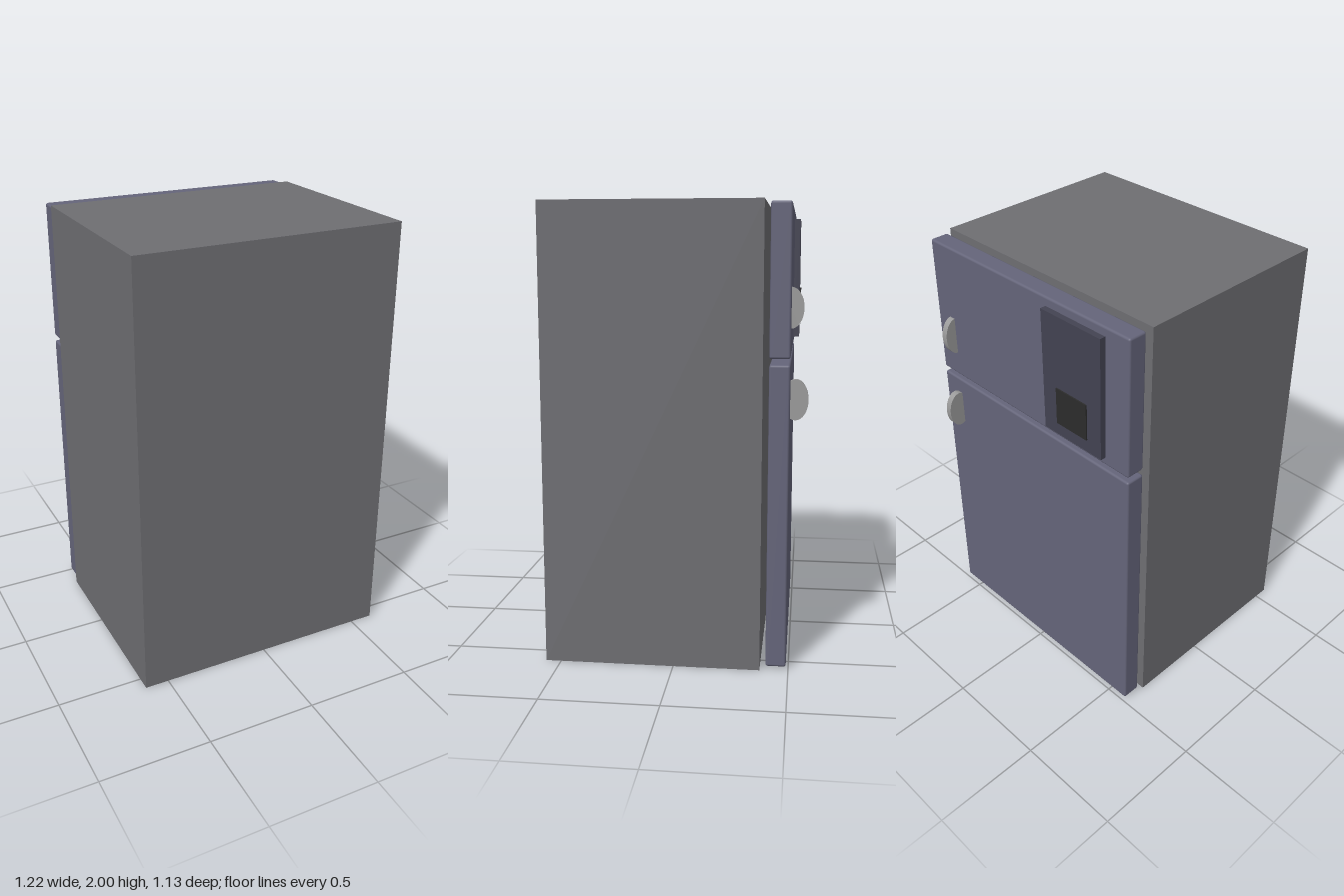
import * as THREE from 'three';
import { RoundedBoxGeometry } from 'three/addons/geometries/RoundedBoxGeometry.js';

const material = (color) => new THREE.MeshStandardMaterial({ color });

export function createModel() {
  const model = new THREE.Group();
  model.name = 'refrigerator';

  const bodyMat = material(0x6e6e72);
  const doorMat = material(0x65657a);
  const panelMat = material(0x434352);
  const recessMat = material(0x2c2c2c);
  const handleMat = material(0x9a9a9a);

  // Box given by its min and max corners; a radius softens the edges
  function box(name, min, max, mat, radius = 0) {
    const size = max.map((v, i) => v - min[i]);
    const geometry = radius
      ? new RoundedBoxGeometry(...size, 2, radius)
      : new THREE.BoxGeometry(...size);
    const mesh = new THREE.Mesh(geometry, mat);
    mesh.name = name;
    mesh.position.set(...max.map((v, i) => (v + min[i]) / 2));
    model.add(mesh);
  }

  // Flat elliptical disc standing on edge, partly sunk into the door
  function handle(name, y, z) {
    const geometry = new THREE.CylinderGeometry(1, 1, 0.03, 32);
    geometry.rotateZ(Math.PI / 2);
    geometry.scale(1, 0.087, 0.055);
    const mesh = new THREE.Mesh(geometry, handleMat);
    mesh.name = name;
    mesh.position.set(0.5, y, z);
    model.add(mesh);
  }

  // Cabinet
  box('cabinet', [-0.61, 0, -0.377], [0.61, 2, 0.567], bodyMat);

  // Doors, hung just clear of the cabinet
  box('fridgeDoor', [-0.6, 0.015, -0.49], [0.6, 1.325, -0.402], doorMat, 0.01);
  box('freezerDoor', [-0.6, 1.35, -0.49], [0.6, 1.99, -0.402], doorMat, 0.01);

  // Dispenser panel and its dark recess
  box('dispenserPanel', [-0.473, 1.39, -0.517], [-0.14, 1.95, -0.485], panelMat);
  box('dispenserRecess', [-0.395, 1.45, -0.523], [-0.22, 1.62, -0.51], recessMat);

  // Handles
  handle('freezerHandle', 1.557, -0.488);
  handle('fridgeHandle', 1.17, -0.512);

  return model;
}
